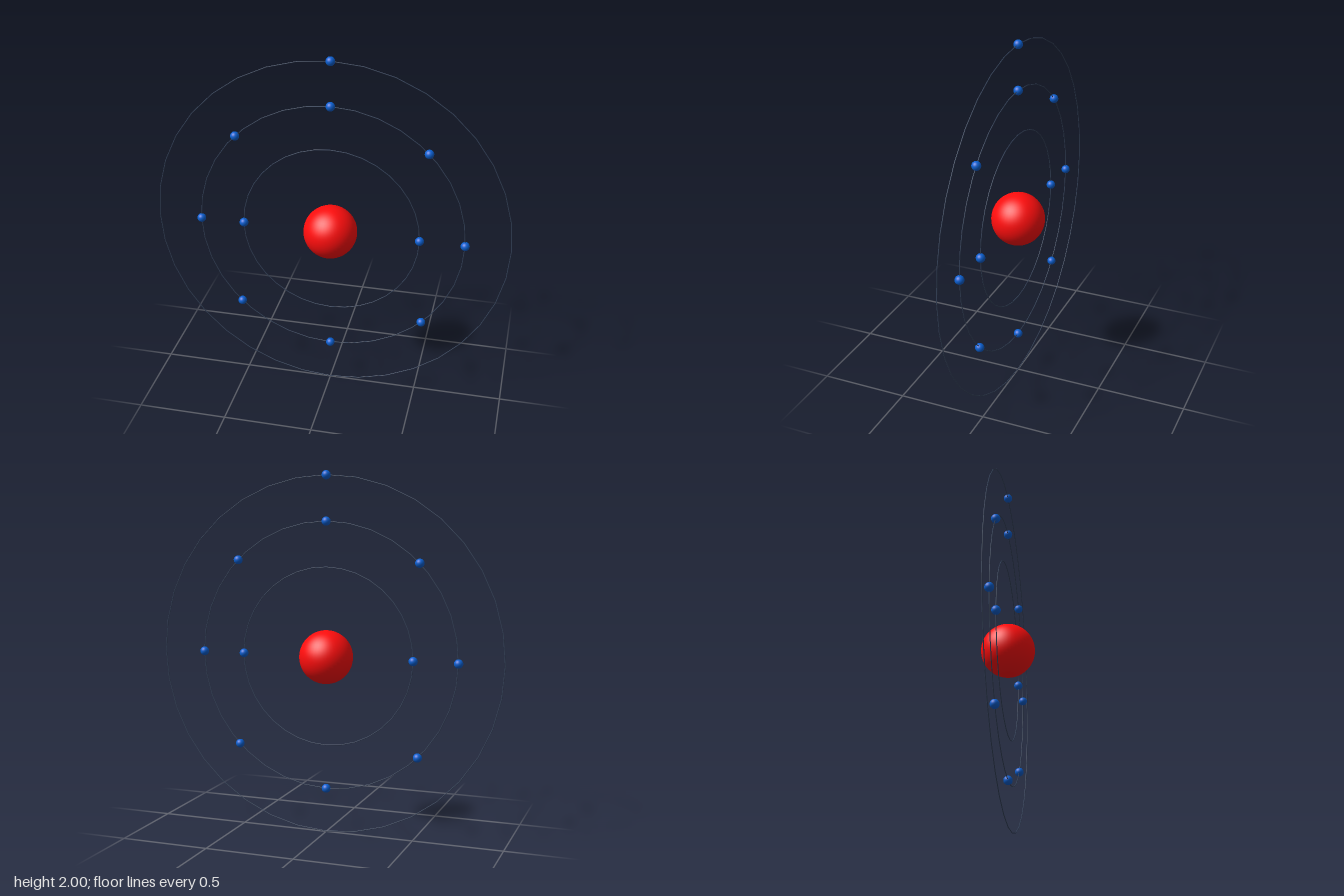
import * as THREE from 'three';

const UNIT = 0.2466;          // one shell spacing
const CENTRE_Y = 4.01 * UNIT; // outer shell rests on the ground

export function createModel() {
  const model = new THREE.Group();
  model.name = 'atom';
  const red = new THREE.MeshStandardMaterial({ color: 0xff0d0d });
  const blue = new THREE.MeshStandardMaterial({ color: 0x0a5fd0 });
  const dark = new THREE.MeshStandardMaterial({ color: 0x34425a });

  const add = (geometry, material, name, x = 0, y = 0) => {
    const mesh = new THREE.Mesh(geometry, material);
    mesh.name = name;
    mesh.position.set(x, CENTRE_Y + y, 0);
    model.add(mesh);
  };

  // Nucleus
  add(new THREE.SphereGeometry(0.6 * UNIT, 48, 32), red, 'nucleus');

  // Shells: ring radius in units, electron count and angle of the first electron
  const shells = [
    { name: 'inner', radius: 2, count: 2, start: 0 },
    { name: 'middle', radius: 3, count: 8, start: 0 },
    { name: 'outer', radius: 4, count: 1, start: Math.PI / 2 },
  ];
  const electron = new THREE.SphereGeometry(0.1 * UNIT, 32, 20);
  for (const { name, radius, count, start } of shells) {
    const r = radius * UNIT;
    add(new THREE.TorusGeometry(r, 0.01 * UNIT, 10, 36), dark, `${name}Orbit`);
    for (let i = 0; i < count; i++) {
      const a = start + (i / count) * Math.PI * 2;
      add(electron, blue, `${name}Electron${i + 1}`, r * Math.cos(a), r * Math.sin(a));
    }
  }
  return model;
}
